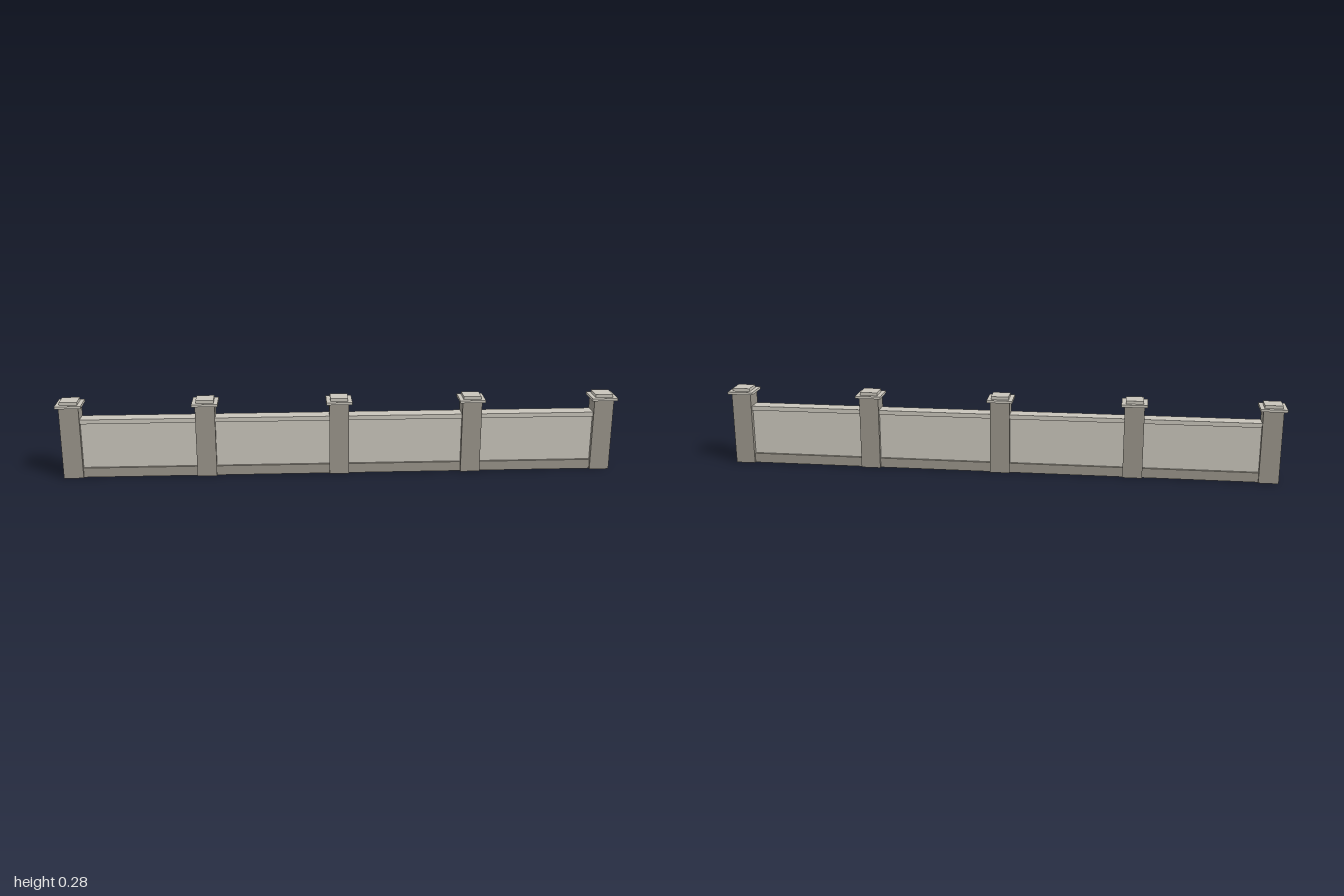
import * as THREE from 'three';

const lightStone = new THREE.MeshStandardMaterial({ color: 0xc8c4ba });
lightStone.name = 'light stone';
const darkStone = new THREE.MeshStandardMaterial({ color: 0x99948a });
darkStone.name = 'dark stone';

// Box standing on y0 and reaching y1
function block(name, material, width, y0, y1, depth, x = 0) {
  const geometry = new THREE.BoxGeometry(width, y1 - y0, depth);
  const mesh = new THREE.Mesh(geometry, material);
  mesh.name = name;
  mesh.position.set(x, (y0 + y1) / 2, 0);
  return mesh;
}

// Remove the underside of a box (its fourth face)
function openBottom(mesh) {
  const index = Array.from(mesh.geometry.index.array);
  index.splice(18, 6);
  mesh.geometry.setIndex(index);
  mesh.geometry.clearGroups();
  return mesh;
}

// Square post with a two-step cap
function makePost(x) {
  const post = new THREE.Group();
  post.name = 'post';
  post.position.x = x;
  post.add(
    openBottom(block('postShaft', darkStone, 0.07, 0, 0.264, 0.07)),
    block('capSlab', lightStone, 0.092, 0.264, 0.273, 0.092),
    block('capTop', lightStone, 0.063, 0.273, 0.284, 0.063),
  );
  return post;
}

// Wall section: plinth, recessed panel and coping
function makeBay(x, length) {
  const bay = new THREE.Group();
  bay.name = 'wallBay';
  bay.position.x = x;
  bay.add(
    block('plinth', darkStone, length, 0, 0.035, 0.053),
    block('panel', lightStone, length, 0.035, 0.201, 0.036),
    block('coping', lightStone, length, 0.201, 0.217, 0.053),
  );
  return bay;
}

export function createModel() {
  const wall = new THREE.Group();
  wall.name = 'wall';
  const spacing = 0.477;
  for (let i = -2; i <= 2; i++) wall.add(makePost(i * spacing));
  for (let i = -1.5; i <= 1.5; i++) wall.add(makeBay(i * spacing, spacing));
  return wall;
}
